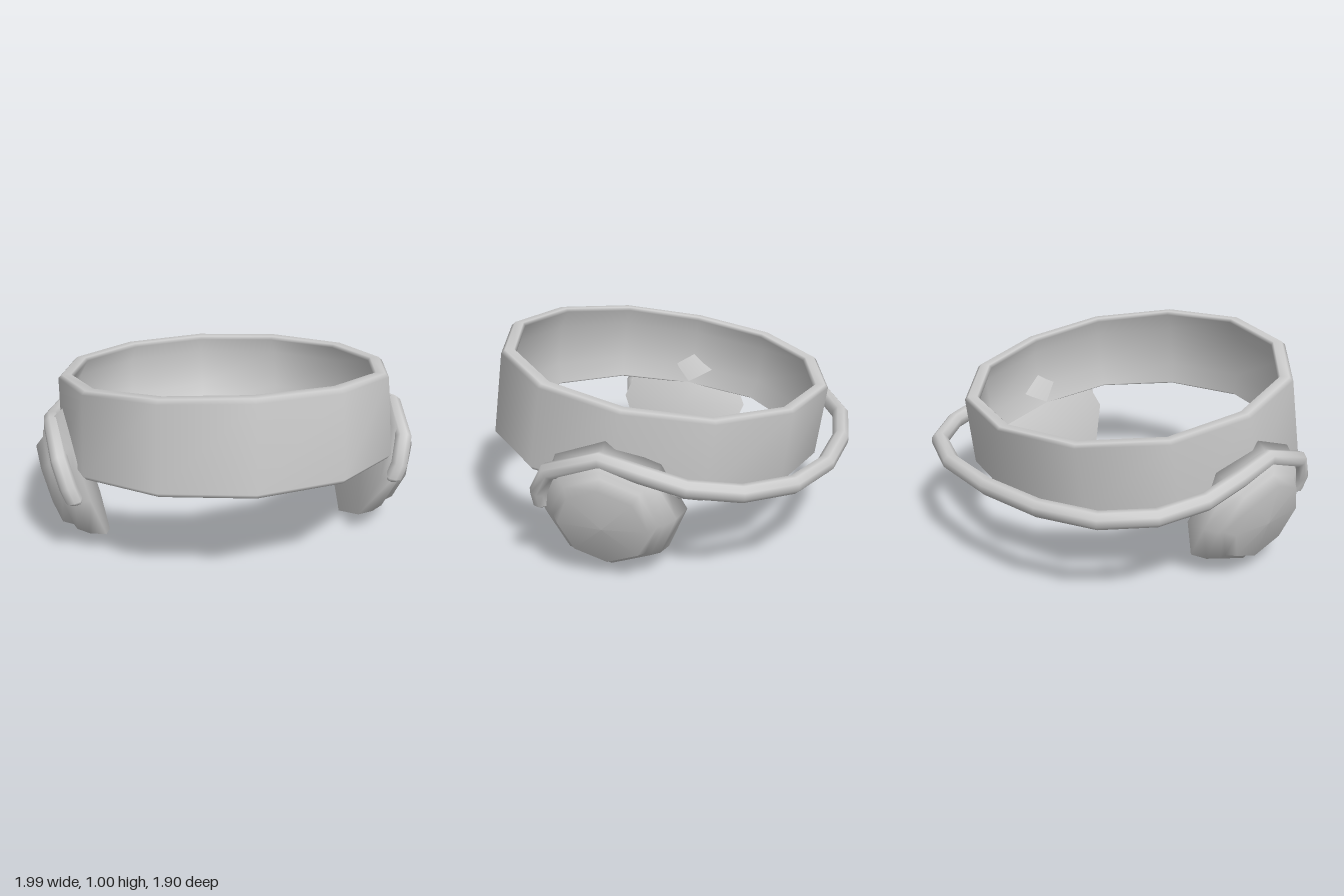
import * as THREE from 'three';

const material = new THREE.MeshStandardMaterial({ color: 0xcccccc });

function addMesh(parent, name, geometry) {
  const mesh = new THREE.Mesh(geometry, material);
  mesh.name = name;
  parent.add(mesh);
  return mesh;
}

// Twelve-sided band: a section with a hollowed inner wall swept round,
// leaning forward and taller at the front
function bandGeometry() {
  const sides = 12;
  // [inset from the outer wall, height fraction]
  const section = [
    [0, 0.05], [0, 0.96], [0.018, 1], [0.065, 1], [0.078, 0.96],
    [0.035, 0.75], [0.035, 0.25], [0.085, 0.03], [0.065, 0], [0.02, 0],
  ];
  const n = section.length;
  const positions = [];
  const indices = [];
  for (let i = 0; i < sides; i++) {
    const a = (i / sides) * Math.PI * 2;
    const c = Math.cos(a);
    const bottom = 0.449 + 0.075 * c;
    const top = 0.865 + 0.11 * c + 0.022 * c * c;
    const corner = Math.sin(2 * a) ** 2;
    for (let j = 0; j < n; j++) {
      const [inset, t] = section[j];
      const r = 0.862 - inset;
      const zCentre = THREE.MathUtils.lerp(0.088, 0.03, t);
      // Corners bulge sideways a little, more so at the bottom
      const widen = 1 + corner * THREE.MathUtils.lerp(0.06, 0.025, t);
      positions.push(r * Math.sin(a) * widen, THREE.MathUtils.lerp(bottom, top, t), zCentre + r * c);
      const i2 = (i + 1) % sides;
      const j2 = (j + 1) % n;
      const p = i * n + j, q = i2 * n + j, s = i2 * n + j2, u = i * n + j2;
      indices.push(p, q, s, p, s, u);
    }
  }
  const geometry = new THREE.BufferGeometry();
  geometry.setAttribute('position', new THREE.Float32BufferAttribute(positions, 3));
  geometry.setIndex(indices);
  geometry.computeVertexNormals();
  return geometry;
}

// Octagonal ear cup: wide pad inside, tapering shell and shallow cap outside
function earCupGeometry() {
  const profile = [
    [0, 0], [0.37, 0], [0.335, 0.08], [0.29, 0.135],
    [0.26, 0.145], [0.225, 0.195], [0, 0.21],
  ].map(([r, y]) => new THREE.Vector2(r, y));
  return new THREE.LatheGeometry(profile, 8);
}

// Hooked wire: one half as points, mirrored, with a ring at every point
const wireHalf = [
  [0.825, 0.35, 0.445], [0.85, 0.42, 0.45], [0.885, 0.54, 0.385],
  [0.908, 0.63, 0.12], [0.908, 0.58, -0.08], [0.887, 0.522, -0.29],
  [0.818, 0.497, -0.54], [0.648, 0.491, -0.752], [0.36, 0.49, -0.872],
];
function wireGeometry() {
  const half = wireHalf.map((p) => new THREE.Vector3(...p));
  const mirrored = half.map((p) => new THREE.Vector3(-p.x, p.y, p.z)).reverse();
  const points = [...half, new THREE.Vector3(0, 0.49, -0.908), ...mirrored];
  const curve = new THREE.CatmullRomCurve3(points);
  curve.getPointAt = curve.getPoint;
  curve.getTangentAt = curve.getTangent;
  return new THREE.TubeGeometry(curve, points.length - 1, 0.045, 8, false);
}

export function createModel() {
  const model = new THREE.Group();
  model.name = 'headbandWithEarCups';

  addMesh(model, 'headband', bandGeometry());
  addMesh(model, 'neckWire', wireGeometry());

  const cup = earCupGeometry();
  const tip = new THREE.SphereGeometry(0.045, 8, 6);
  for (const side of [1, -1]) {
    const label = side > 0 ? 'left' : 'right';
    const earCup = addMesh(model, label + 'EarCup', cup);
    earCup.position.set(side * 0.745, 0.354, 0.108);
    earCup.rotation.z = -side * (Math.PI / 2 + 0.295);

    // Rounded wire end
    const [x, y, z] = wireHalf[0];
    const end = addMesh(model, label + 'WireTip', tip);
    end.position.set(side * x, y, z);
    end.scale.y = 0.6;
  }
  return model;
}
